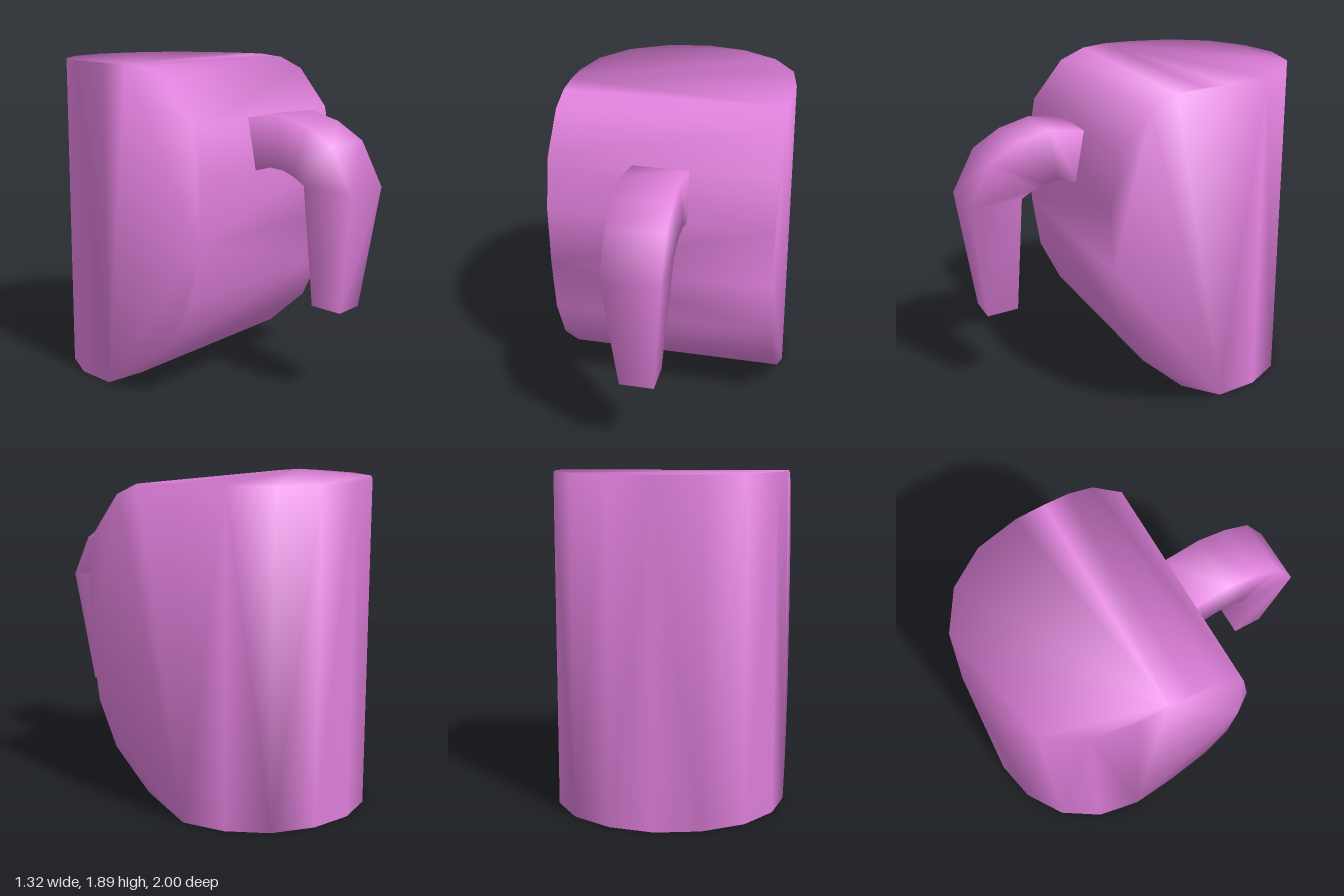
import * as THREE from 'three';
import { ConvexGeometry } from 'three/addons/geometries/ConvexGeometry.js';
import { mergeVertices } from 'three/addons/utils/BufferGeometryUtils.js';

const HALF_WIDTH = 0.66;
const HEIGHT = 1.89;

// Body: a curved front profile [z, y] between flat sides, meeting an arched back
function bodyGeometry() {
  const front = [
    [-0.34, 0], [-0.08, 0.12], [0.17, 0.34], [0.3, 0.6], [0.35, 0.92], [0.37, 1.28],
    [0.315, 1.58], [0.13, 1.81], [-0.02, 1.875], [-0.17, HEIGHT], [-0.34, HEIGHT],
  ];
  const back = [[0.61, -0.595], [0.47, -0.81], [0.25, -0.95], [0, -1]]; // [x, z]
  const points = [];
  for (const side of [-1, 1]) {
    for (const [z, y] of front) points.push(new THREE.Vector3(side * HALF_WIDTH, y, z));
    for (const [x, z] of back) {
      if (x === 0 && side < 0) continue;
      for (const y of [0, HEIGHT]) points.push(new THREE.Vector3(side * x, y, z));
    }
  }
  // Weld the corners so that the shading is smooth all over
  const hull = new ConvexGeometry(points);
  hull.deleteAttribute('normal');
  const geometry = mergeVertices(hull);
  geometry.computeVertexNormals();
  return geometry;
}

// Hook: four-cornered rings running out of the body and down to a narrow tip
function hookGeometry() {
  // outer z, outer y, inner z, inner y, half width
  const rings = [
    [0.3, 1.58, 0.355, 1.28, 0.165],
    [0.53, 1.61, 0.47, 1.31, 0.165],
    [0.71, 1.56, 0.56, 1.3, 0.165],
    [0.87, 1.46, 0.62, 1.275, 0.165],
    [1.0, 1.21, 0.695, 1.23, 0.165],
    [0.905, 0.515, 0.72, 0.53, 0.1],
  ];
  const positions = [];
  const index = [];
  rings.forEach(([oz, oy, iz, iy, w], r) => {
    positions.push(w, oy, oz, -w, oy, oz, -w, iy, iz, w, iy, iz);
    if (r === 0) return;
    for (let j = 0; j < 4; j++) {
      const k = (j + 1) % 4;
      const a = (r - 1) * 4 + j, b = (r - 1) * 4 + k;
      index.push(a, b, b + 4, a, b + 4, a + 4);
    }
  });
  const t = (rings.length - 1) * 4;
  index.push(t, t + 1, t + 2, t, t + 2, t + 3); // tip
  const geometry = new THREE.BufferGeometry();
  geometry.setAttribute('position', new THREE.Float32BufferAttribute(positions, 3));
  geometry.setIndex(index);
  geometry.computeVertexNormals();
  return geometry;
}

export function createModel() {
  const material = new THREE.MeshStandardMaterial({ color: 0xe080dc });
  const group = new THREE.Group();
  const add = (name, geometry) => {
    const mesh = new THREE.Mesh(geometry, material);
    mesh.name = name;
    group.add(mesh);
  };
  add('body', bodyGeometry());
  add('hook', hookGeometry());
  return group;
}
